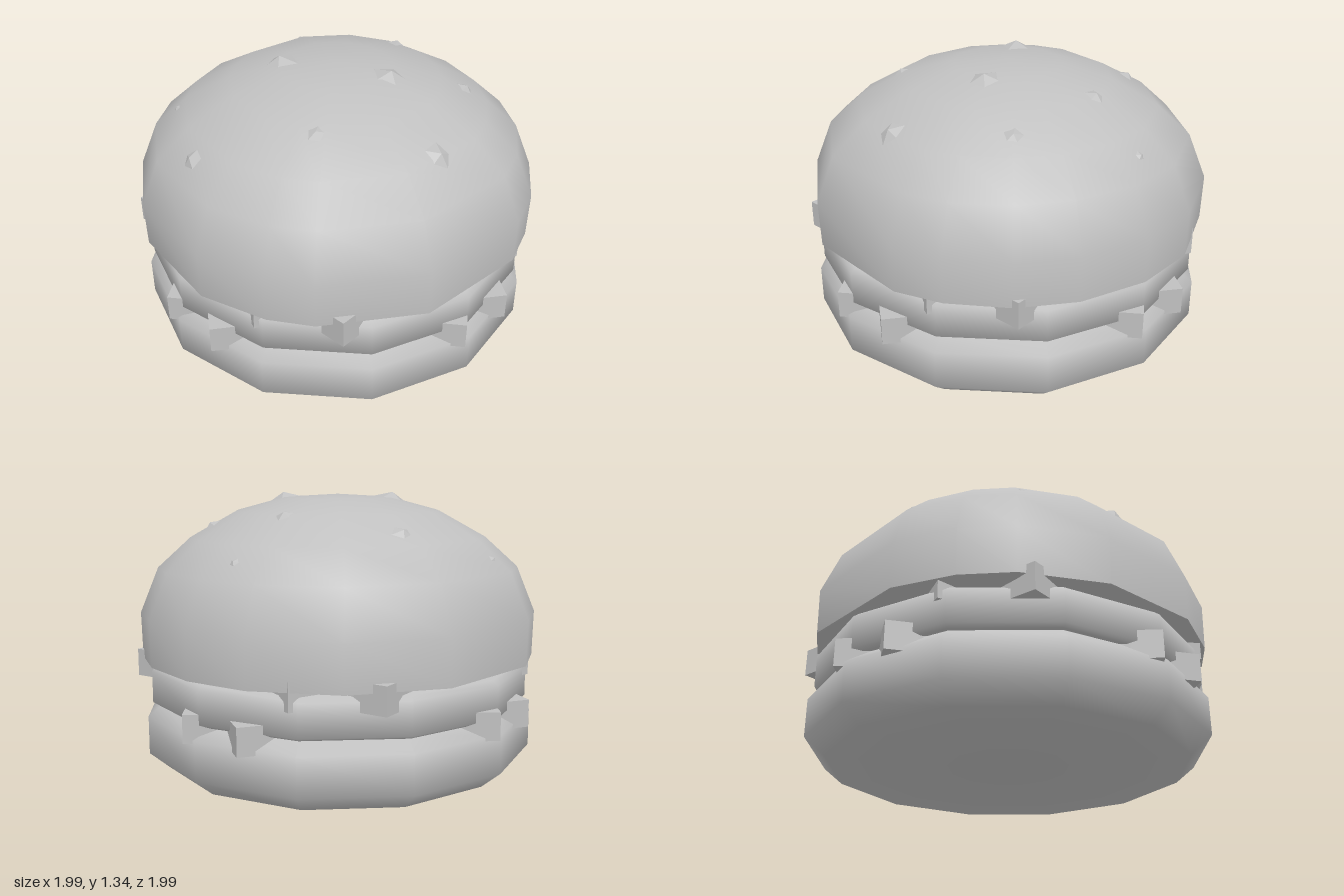
import * as THREE from 'three';
import { toCreasedNormals } from 'three/addons/utils/BufferGeometryUtils.js';

const rad = THREE.MathUtils.degToRad;

export function createModel() {
  const group = new THREE.Group();
  const grey = new THREE.MeshStandardMaterial({ color: 0xc0c0c0 });
  grey.name = 'plainGrey';

  const add = (name, geometry) => {
    const mesh = new THREE.Mesh(geometry, grey);
    mesh.name = name;
    group.add(mesh);
    return mesh;
  };

  // Turned shape; azimuths (degrees) give the angle of each column of corners
  const turned = (profile, azimuths) => {
    const pts = profile.map(([r, y]) => new THREE.Vector2(r, y));
    const n = azimuths.length;
    const g = new THREE.LatheGeometry(pts, n);
    const p = g.attributes.position;
    for (let i = 0; i <= n; i++) {
      const a = rad(azimuths[i % n]);
      pts.forEach((v, j) => p.setXYZ(i * pts.length + j, v.x * Math.sin(a), v.y, v.x * Math.cos(a)));
    }
    return toCreasedNormals(g, rad(72));
  };
  const twelve = Array.from({ length: 12 }, (_, i) => i * 30);

  // Bottom bun and patty
  add('bottomBun', turned([[0, 0], [0.875, 0], [0.975, 0.085], [0.975, 0.27], [0.9, 0.33], [0, 0.335]], twelve));
  add('patty', turned([[0, 0.32], [0.925, 0.325], [0.95, 0.34], [0.95, 0.495], [0.925, 0.515], [0, 0.52]], twelve));

  // Domed top bun with uneven sides
  add('topBun', turned(
    [[0, 0.5], [0.82, 0.5], [0.98, 0.54], [0.985, 0.76], [0.895, 0.98], [0.735, 1.125], [0.51, 1.25], [0.27, 1.315], [0, 1.332]],
    [15, 49, 63, 81, 98, 118, 137, 162, 190, 225, 243, 258, 282, 312, 332, 345],
  ));

  // Square slice: thin sheet that swells into a block at each corner
  const slice = (name, reach, y, turn) => {
    const half = reach / Math.SQRT2;
    const stops = [-half, 0.14 - half, 0.22 - half, half - 0.22, half - 0.14, half];
    const g = new THREE.BoxGeometry(5, 1, 5, 5, 1, 5);
    const p = g.attributes.position;
    for (let i = 0; i < p.count; i++) {
      const a = Math.round(p.getX(i) + 2.5);
      const b = Math.round(p.getZ(i) + 2.5);
      const corner = (a < 2 || a > 3) && (b < 2 || b > 3);
      p.setXYZ(i, stops[a], Math.sign(p.getY(i)) * (corner ? 0.066 : 0.015), stops[b]);
    }
    const mesh = add(name, toCreasedNormals(g, rad(20)));
    mesh.position.y = y;
    mesh.rotation.y = rad(turn);
  };
  slice('lowerSliceA', 1.0, 0.315, 0);
  slice('lowerSliceB', 1.0, 0.323, -18);
  slice('upperSliceA', 1.005, 0.515, 37);
  slice('upperSliceB', 0.962, 0.52, 13);

  // Five-sided seeds set square to the dome
  const seedGeometry = toCreasedNormals(
    new THREE.LatheGeometry([[0, -0.05], [0.093, 0], [0, 0.04]].map(([r, y]) => new THREE.Vector2(r, y)), 5), 0.1);
  const up = new THREE.Vector3(0, 1, 0);
  [
    [-0.54, -0.58], [-0.08, -0.62], [0.37, -0.33], [0.63, -0.46], [-0.74, -0.13], [-0.25, -0.09],
    [0.23, 0.15], [0.61, 0.09], [-0.7, 0.32], [-0.17, 0.49], [0.35, 0.59],
  ].forEach(([x, z], i) => {
    const h = 0.73 * Math.sqrt(1 - (x * x + z * z) / 0.94);
    const normal = new THREE.Vector3(x / 0.94, h / 0.533, z / 0.94).normalize();
    const seed = add('seed' + (i + 1), seedGeometry);
    seed.position.set(x, 0.6 + h, z);
    seed.quaternion.setFromUnitVectors(up, normal);
    seed.rotateY(i * 1.7);
  });

  return group;
}
